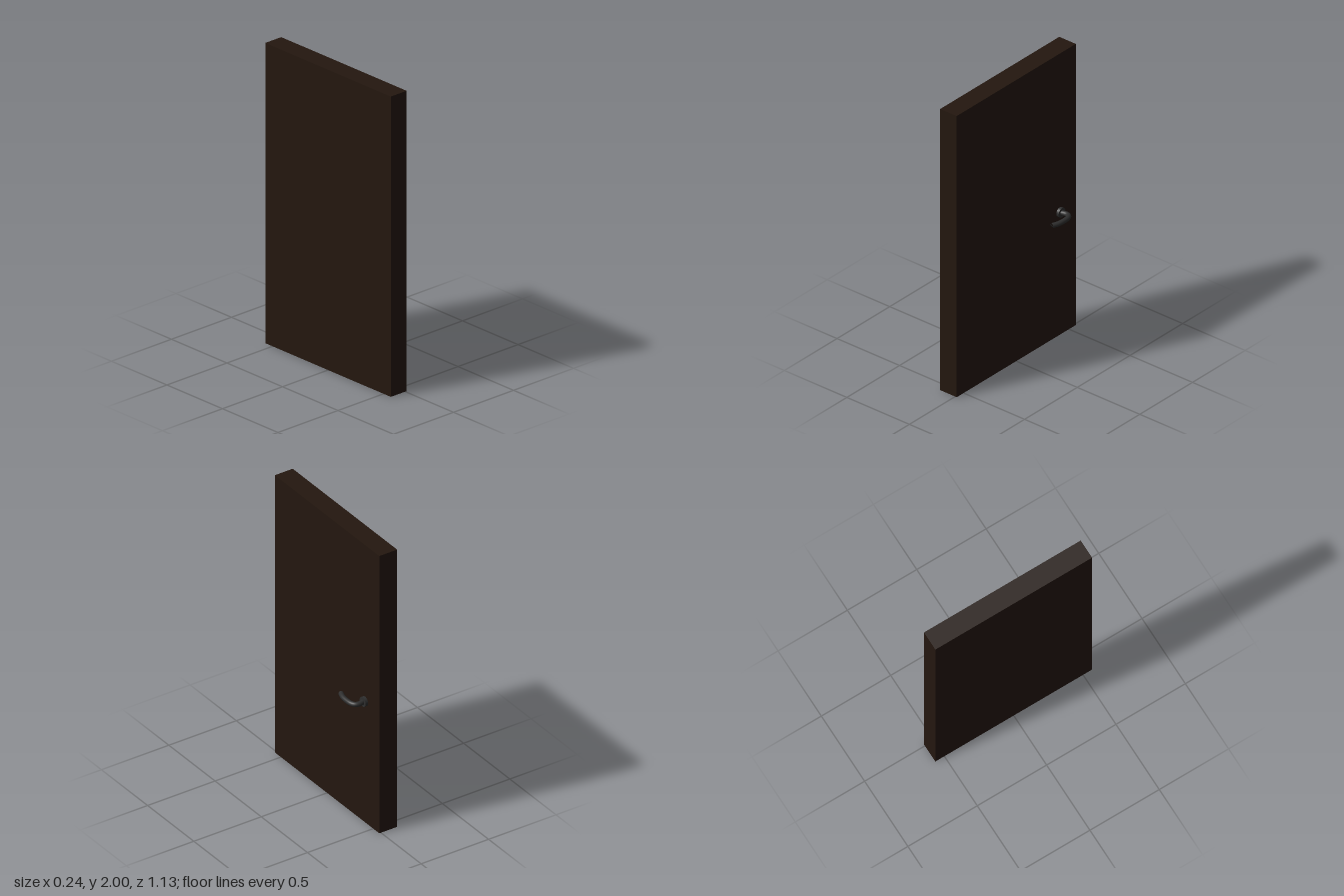
import * as THREE from 'three';

const HANDLE_Y = 0.875;
const HANDLE_Z = -0.412;
const FACE_X = 0.012;

function addMesh(parent, name, geometry, material) {
  const mesh = new THREE.Mesh(geometry, material);
  mesh.name = name;
  parent.add(mesh);
  return mesh;
}

export function createModel() {
  const model = new THREE.Group();
  model.name = 'door';
  const wood = new THREE.MeshStandardMaterial({ color: 0x24170f });
  const metal = new THREE.MeshStandardMaterial({ color: 0x2e2e2e });

  // Plain door slab
  const panel = addMesh(model, 'doorPanel', new THREE.BoxGeometry(0.132, 2, 1.13), wood);
  panel.position.set(FACE_X - 0.066, 1, 0);

  const handle = new THREE.Group();
  handle.name = 'handle';
  handle.position.set(FACE_X, HANDLE_Y, HANDLE_Z);
  model.add(handle);

  // Round backplate lying against the door face
  const plate = addMesh(handle, 'backplate', new THREE.CylinderGeometry(0.032, 0.032, 0.019, 32), metal);
  plate.rotation.z = -Math.PI / 2;
  plate.position.x = 0.0095;

  // Curved lever: out from the plate, then back along the door
  const path = new THREE.CatmullRomCurve3([
    [0.01, 0.002], [0.03, -0.003], [0.053, -0.006], [0.074, 0.003],
    [0.087, 0.028], [0.09, 0.065], [0.087, 0.11], [0.071, 0.159],
  ].map(([x, z]) => new THREE.Vector3(x, 0, z)));
  const radius = 0.0165;
  addMesh(handle, 'lever', new THREE.TubeGeometry(path, 32, radius, 16), metal);

  // Flat end of the lever
  const end = addMesh(handle, 'leverEnd', new THREE.CircleGeometry(radius, 16), metal);
  end.position.copy(path.getPoint(1));
  end.lookAt(path.getPoint(1).add(path.getTangent(1)));

  return model;
}
